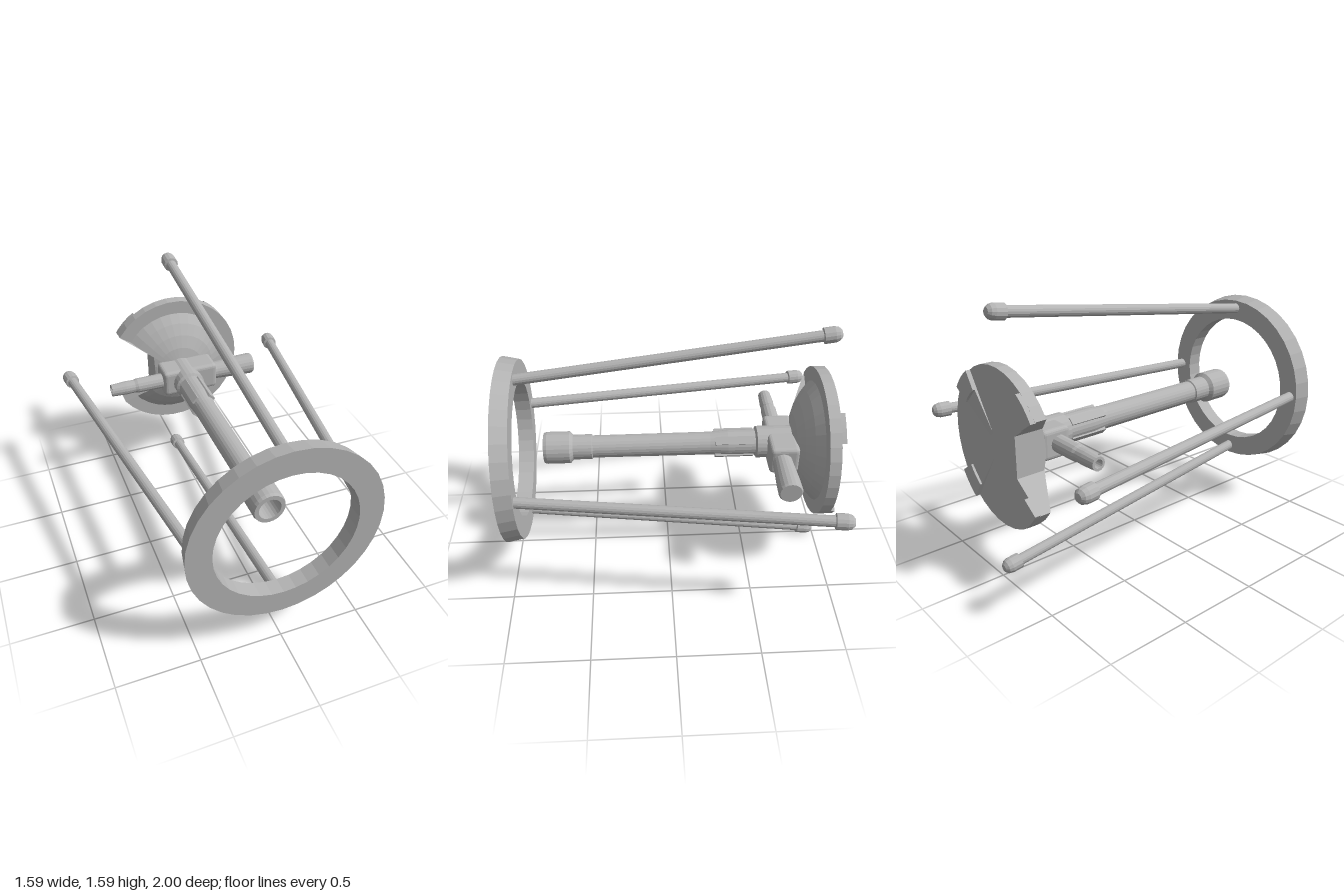
import * as THREE from 'three';
import { RoundedBoxGeometry } from 'three/addons/geometries/RoundedBoxGeometry.js';
import { ConvexGeometry } from 'three/addons/geometries/ConvexGeometry.js';

const CY = 0.805; // height of the central axis

export function createModel() {
  const model = new THREE.Group();
  const assembly = new THREE.Group();
  assembly.name = 'assembly';
  assembly.position.y = CY;
  model.add(assembly);
  const grey = new THREE.MeshStandardMaterial({ color: 0xb4b4b4, flatShading: true });
  grey.name = 'grey';

  const add = (name, geometry, parent = assembly) => {
    const mesh = new THREE.Mesh(geometry, grey);
    mesh.name = name;
    parent.add(mesh);
    return mesh;
  };
  const lathe = (points, segments) =>
    new THREE.LatheGeometry(points.map(([r, h]) => new THREE.Vector2(r, h)), segments);

  // Front ring, slightly tapered toward the back
  add('frontRing', lathe([[0.425, 0.9], [0.555, 0.9], [0.575, 1], [0.425, 1], [0.425, 0.9]], 36).rotateX(Math.PI / 2));

  // Four splayed legs with rounded feet
  const start = new THREE.Vector3(0.5, 0, 0.92);
  const end = new THREE.Vector3(0.757, 0, -0.995);
  const span = end.clone().sub(start);
  const length = span.length();
  const turn = new THREE.Quaternion().setFromUnitVectors(new THREE.Vector3(0, 1, 0), span.normalize());
  for (let i = 0; i < 4; i++) {
    const leg = new THREE.Group();
    leg.name = 'leg' + (i + 1);
    leg.rotation.z = i * Math.PI / 2;
    assembly.add(leg);
    const rod = lathe([[0, 0], [0.033, 0], [0.033, length - 0.08], [0, length - 0.08]], 16);
    const foot = lathe([[0.033, length - 0.112], [0.047, length - 0.108], [0.047, length - 0.045],
      [0.04, length - 0.02], [0.024, length - 0.004], [0, length]], 14);
    for (const [name, geometry] of [['rod', rod], ['foot', foot]]) {
      add(name, geometry.applyQuaternion(turn).translate(start.x, start.y, start.z), leg);
    }
  }

  // Long hollow-ended barrel
  add('barrel', lathe([[0, -0.8], [0.1, -0.8], [0.1, -0.55], [0.082, -0.54], [0.082, -0.37], [0.072, -0.26],
    [0.07, 0.47], [0.078, 0.475], [0.078, 0.59], [0.1, 0.61], [0.1, 0.75], [0.094, 0.77],
    [0.068, 0.77], [0.068, 0.62], [0, 0.62]], 24).rotateX(Math.PI / 2));
  for (let i = 0; i < 4; i++) {
    const rib = new THREE.BoxGeometry(0.05, 0.02, 0.24).translate(0, 0.077, -0.41);
    add('barrelRib', rib.rotateZ((i + 0.5) * Math.PI / 2));
  }

  // Hub and its two side arms
  add('hub', new RoundedBoxGeometry(0.38, 0.18, 0.18, 2, 0.025).translate(0.025, 0, -0.7));
  add('rightArm', lathe([[0, 0.1], [0.052, 0.1], [0.05, 0.34], [0.044, 0.36], [0.046, 0.42], [0.041, 0.52],
    [0.026, 0.52], [0.026, 0.45], [0, 0.45]], 16).rotateZ(Math.PI / 2).translate(0, 0, -0.685));
  add('leftArm', lathe([[0, 0.15], [0.06, 0.15], [0.06, 0.23], [0.07, 0.4], [0.072, 0.49],
    [0.064, 0.502], [0, 0.502]], 20).rotateZ(-Math.PI / 2).translate(0, 0, -0.685));

  // Domed base with a wedge-shaped notch on one side
  add('domedBase', domeGeometry());

  // Raised pads on the back of the base; two have ramps running to the centre
  const a0 = 0.59, a1 = 0.98, inner = 0.345, outer = 0.463;
  for (const middle of [0, Math.PI]) {
    for (const side of [1, -1]) {
      const from = side > 0 ? middle + a0 : middle - a1;
      const to = from + a1 - a0;
      const sector = new THREE.Shape();
      sector.absarc(0, 0, outer, from, to, false);
      sector.absarc(0, 0, inner, to, from, true);
      add('backPad', new THREE.ExtrudeGeometry(sector, { depth: 0.035, bevelEnabled: false, curveSegments: 4 })
        .translate(0, 0, -1));
      if (middle === 0) {
        const points = [new THREE.Vector3(0, 0, -0.968)];
        for (const a of [from, to]) {
          for (const z of [-0.968, -0.988]) {
            points.push(new THREE.Vector3(inner * Math.cos(a), inner * Math.sin(a), z));
          }
        }
        add('backRamp', new ConvexGeometry(points));
      }
    }
  }
  return model;
}

// Swept profile whose radius is cut short across the notch
function domeGeometry() {
  const half = 0.6, notchX = 0.18;
  const profile = [[0, -0.973], [0.465, -0.973], [0.465, -0.904], [0.376, -0.904], [0.32, -0.856],
    [0.25, -0.813], [0.17, -0.78], [0.09, -0.762], [0, -0.756]];
  const heightAt = (r) => {
    for (let k = 3; k < profile.length - 1; k++) {
      const [r0, z0] = profile[k], [r1, z1] = profile[k + 1];
      if (r <= r0 && r >= r1) return z0 + (z1 - z0) * (r0 - r) / (r0 - r1);
    }
    return -0.904;
  };
  const positions = [], indices = [];
  let columns = 0;
  const addColumn = (angle, limit) => {
    profile.forEach(([r, z], j) => {
      const cut = r > limit;
      const radius = cut ? limit : r;
      const height = cut && j > 1 ? heightAt(limit) : z;
      positions.push(radius * Math.cos(angle), radius * Math.sin(angle), height);
    });
    columns++;
  };
  for (let i = 0; i <= 28; i++) addColumn(Math.PI + half + (2 * Math.PI - 2 * half) * i / 28, Infinity);
  for (let i = 0; i <= 4; i++) {
    const offset = -half + 2 * half * i / 4;
    addColumn(3 * Math.PI + offset, notchX / Math.cos(offset));
  }
  const n = profile.length;
  for (let i = 0; i < columns; i++) {
    for (let j = 0; j < n - 1; j++) {
      const a = i * n + j, b = ((i + 1) % columns) * n + j;
      indices.push(a, b, b + 1, a, b + 1, a + 1);
    }
  }
  const geometry = new THREE.BufferGeometry();
  geometry.setAttribute('position', new THREE.Float32BufferAttribute(positions, 3));
  geometry.setIndex(indices);
  geometry.computeVertexNormals();
  return geometry;
}
